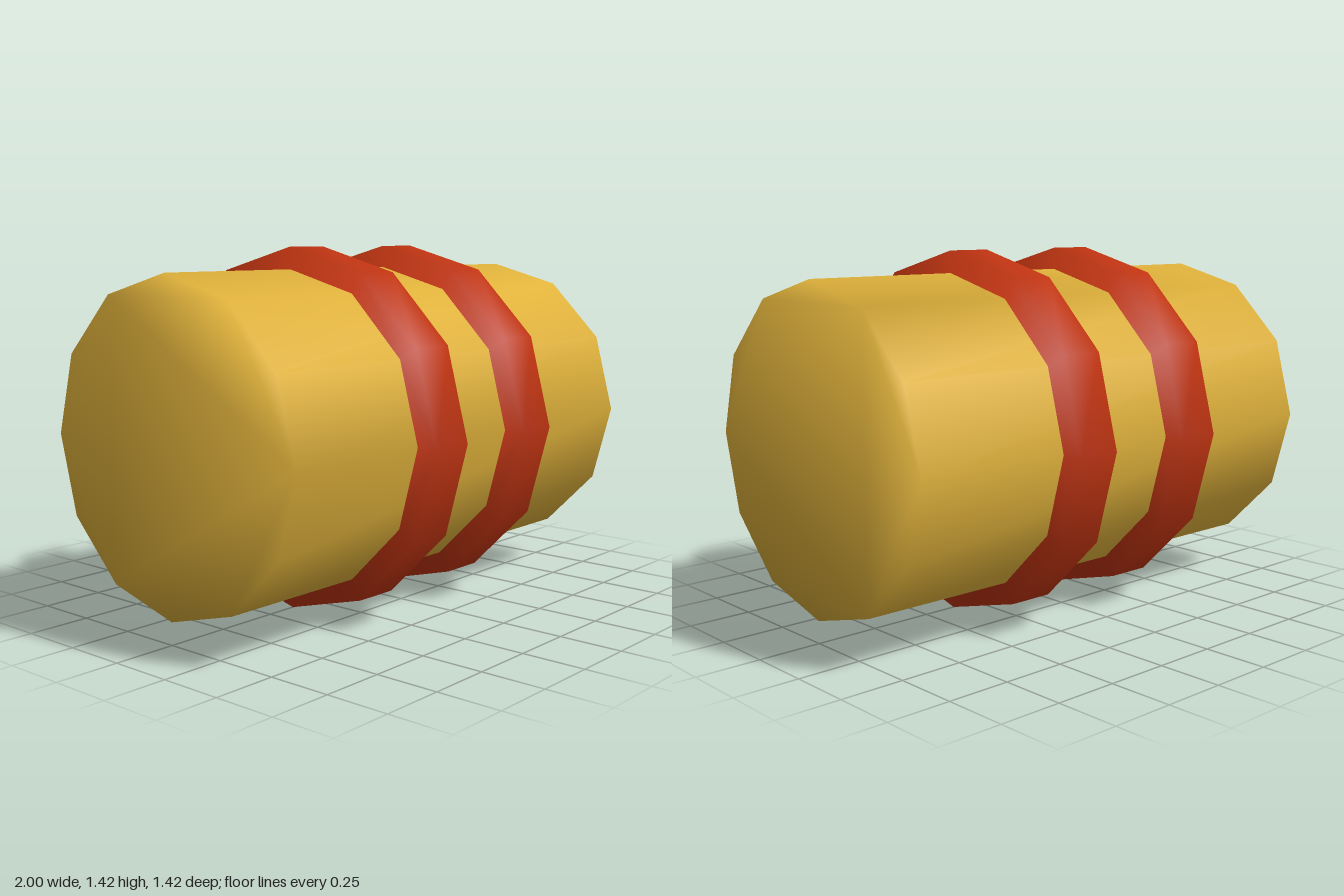
import * as THREE from 'three';
import { mergeVertices } from 'three/addons/utils/BufferGeometryUtils.js';

const SIDES = 12;
const BARREL_RADIUS = 0.622;
const RING_RADIUS = 0.708;

const gold = new THREE.MeshStandardMaterial({ color: 0xe0b23b });
gold.name = 'gold';
const red = new THREE.MeshStandardMaterial({ color: 0xc03411 });
red.name = 'red';

// Corners of a regular polygon with one corner pointing straight up
function polygon(radius) {
  return Array.from({ length: SIDES }, (_, i) => {
    const a = (i / SIDES) * Math.PI * 2;
    return new THREE.Vector2(Math.sin(a) * radius, Math.cos(a) * radius);
  });
}

// Prism along x from x0 to x1, with normals smoothed over every edge
function prism(name, material, x0, x1, outer, inner) {
  const shape = new THREE.Shape(polygon(outer));
  if (inner) shape.holes.push(new THREE.Path(polygon(inner)));
  let geometry = new THREE.ExtrudeGeometry(shape, { depth: x1 - x0, steps: 1, bevelEnabled: false });
  geometry.deleteAttribute('normal');
  geometry.deleteAttribute('uv');
  geometry.clearGroups();
  geometry = mergeVertices(geometry, 1e-4);
  geometry.rotateY(Math.PI / 2);
  geometry.translate(x0, RING_RADIUS, 0);
  geometry.computeVertexNormals();
  const mesh = new THREE.Mesh(geometry, material);
  mesh.name = name;
  return mesh;
}

export function createModel() {
  const group = new THREE.Group();
  group.name = 'bandedBarrel';

  // Solid barrel lying along x
  group.add(prism('barrel', gold, -1, 1, BARREL_RADIUS));

  // Two raised bands around the middle
  group.add(prism('rightBand', red, -0.374, -0.19, RING_RADIUS, BARREL_RADIUS - 0.002));
  group.add(prism('leftBand', red, 0.177, 0.361, RING_RADIUS, BARREL_RADIUS - 0.002));

  return group;
}
